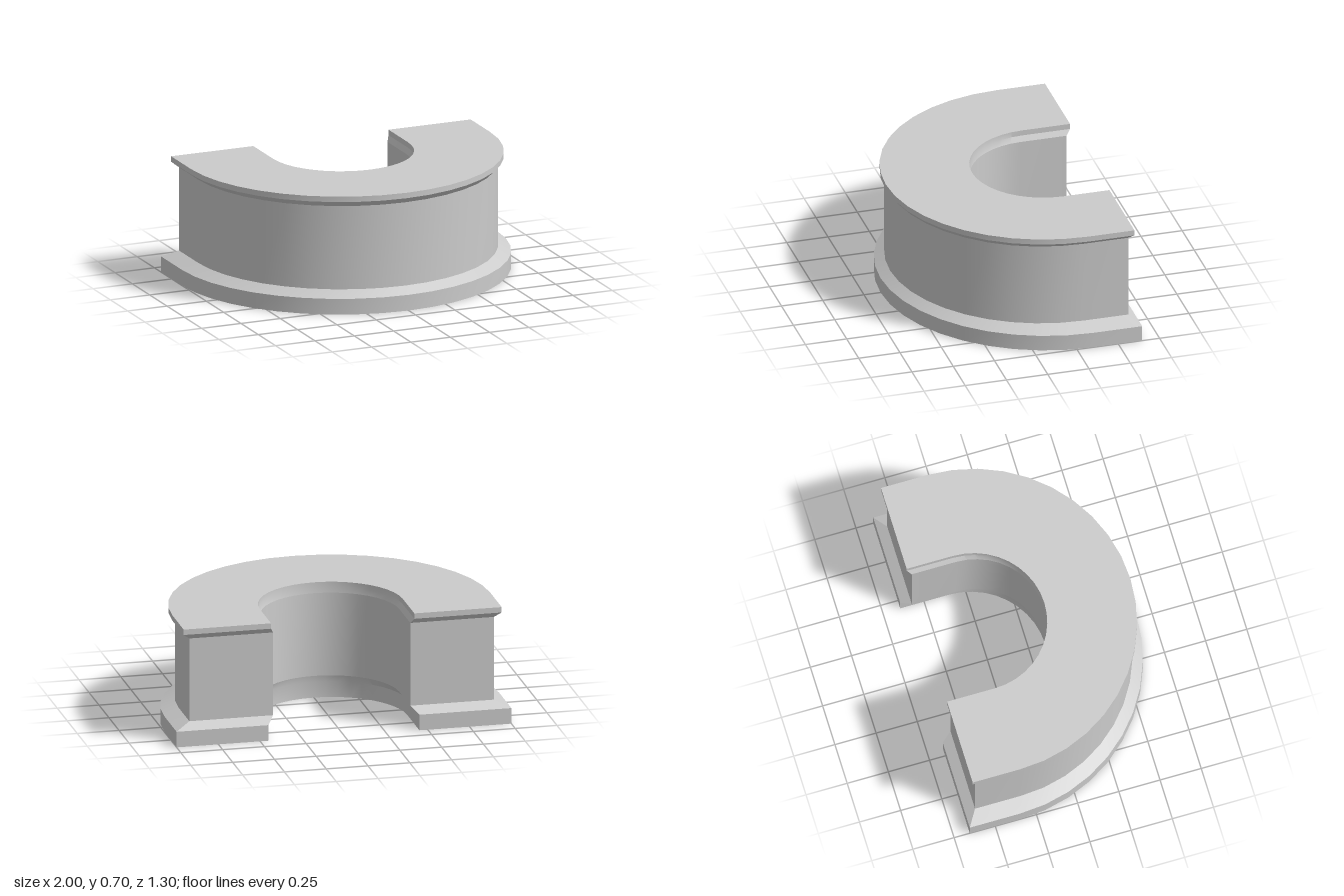
import * as THREE from 'three';
import { toCreasedNormals } from 'three/addons/utils/BufferGeometryUtils.js';

const CENTRE_Z = -0.35; // centre of the round front
const SEGMENTS = 20;

// Horseshoe footprint as (x, z) points: outer arc one way, inner arc back
function footprint() {
  const arc = (radius, reverse) => {
    const pts = [];
    for (let i = 0; i <= SEGMENTS; i++) {
      const a = (Math.PI * i) / SEGMENTS;
      pts.push(new THREE.Vector2(radius * Math.cos(a), CENTRE_Z + radius * Math.sin(a)));
    }
    return reverse ? pts.reverse() : pts;
  };
  return [
    new THREE.Vector2(1, -0.645),
    ...arc(1, false),
    new THREE.Vector2(-1, -0.655),
    new THREE.Vector2(-0.45, -0.655),
    ...arc(0.45, true),
    new THREE.Vector2(0.45, -0.645),
  ];
}

// Stacks scaled copies of the footprint, levels = [[height, scale], ...]
function loft(outline, levels, cap) {
  const n = outline.length;
  const positions = [];
  const index = [];
  for (const [y, s] of levels) {
    for (const p of outline) positions.push(p.x * s, y, p.y * s);
  }
  for (let l = 0; l < levels.length - 1; l++) {
    for (let i = 0; i < n; i++) {
      const a = l * n + i;
      const b = l * n + ((i + 1) % n);
      index.push(a, a + n, b, b, a + n, b + n);
    }
  }
  if (cap) {
    const top = (levels.length - 1) * n;
    for (const [a, b, c] of THREE.ShapeUtils.triangulateShape(outline, [])) {
      if (cap === 'bottom') index.push(a, b, c);
      else index.push(top + a, top + c, top + b);
    }
  }
  const geometry = new THREE.BufferGeometry();
  geometry.setAttribute('position', new THREE.Float32BufferAttribute(positions, 3));
  geometry.setIndex(index);
  return toCreasedNormals(geometry, Math.PI / 7);
}

export function createModel() {
  const group = new THREE.Group();
  group.name = 'horseshoeCounter';
  const material = new THREE.MeshStandardMaterial({ color: 0xcccccc });
  const outline = footprint();

  const add = (name, levels, cap) => {
    const mesh = new THREE.Mesh(loft(outline, levels, cap), material);
    mesh.name = name;
    group.add(mesh);
  };

  // Plinth with sloped upper edge
  add('plinth', [[0, 1], [0.095, 1], [0.135, 0.91]], 'bottom');
  // Plain upright body
  add('body', [[0.135, 0.91], [0.64, 0.91]]);
  // Flared moulding and flat top
  add('countertop', [[0.64, 0.91], [0.672, 0.95], [0.705, 0.95]], 'top');

  return group;
}
